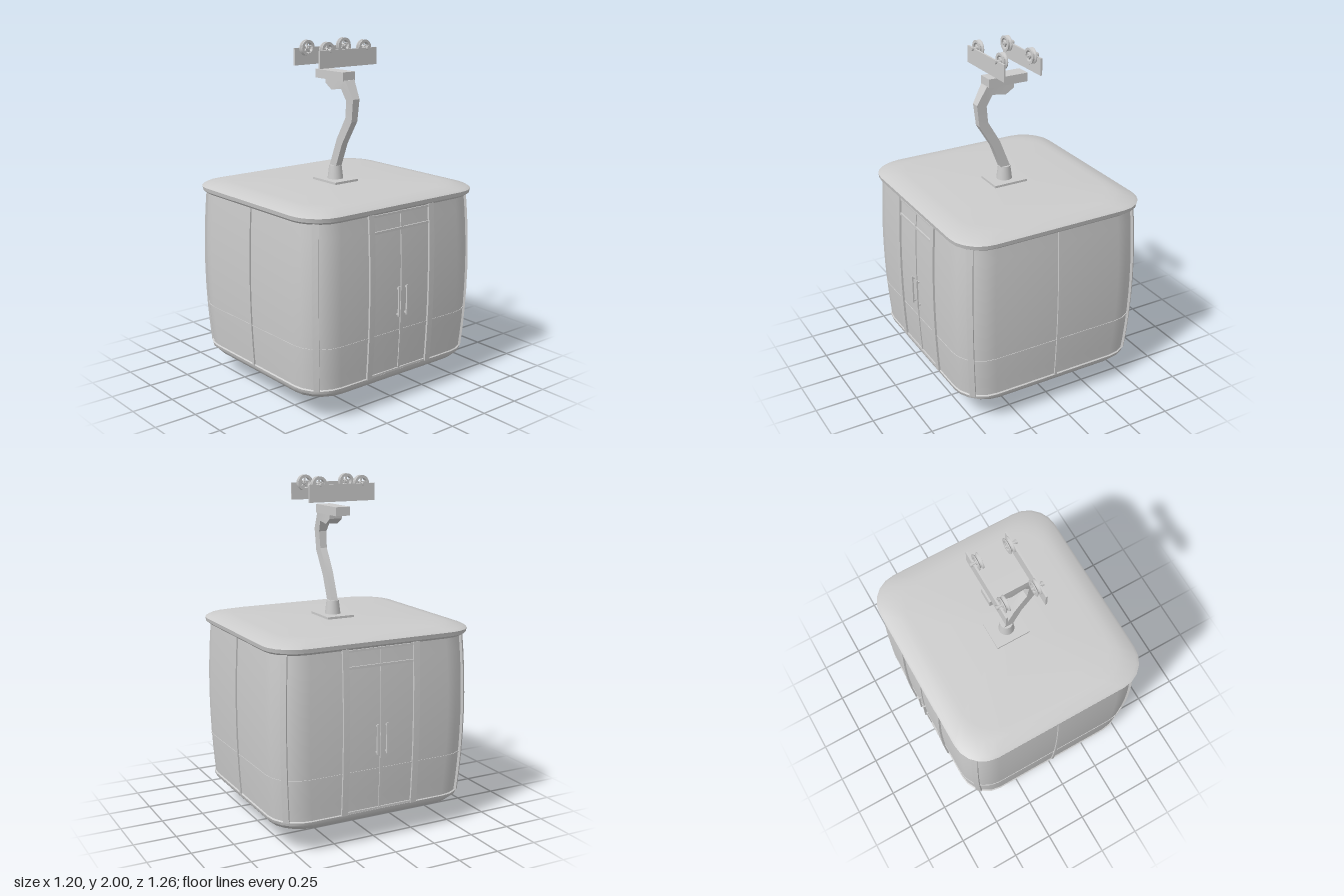
import * as THREE from 'three';
import { toCreasedNormals } from 'three/addons/utils/BufferGeometryUtils.js';

const material = new THREE.MeshStandardMaterial({ color: 0xcccccc });

function add(parent, name, geometry, x = 0, y = 0, z = 0) {
  const mesh = new THREE.Mesh(geometry, material);
  mesh.name = name;
  mesh.position.set(x, y, z);
  parent.add(mesh);
  return mesh;
}

// Closed skin over a list of loops of [x, y, z] points, capped at both ends.
function loft(loops, crease = 0.6) {
  const n = loops[0].length;
  const points = loops.flat();
  let index = [];
  for (let i = 0; i < loops.length - 1; i++) {
    for (let j = 0; j < n; j++) {
      const a = i * n + j, b = i * n + (j + 1) % n;
      index.push(a, b, b + n, a, b + n, a + n);
    }
  }
  [0, loops.length - 1].forEach((row, end) => {
    const centre = [0, 1, 2].map(k => loops[row].reduce((s, p) => s + p[k], 0) / n);
    const c = points.push(centre) - 1;
    for (let j = 0; j < n; j++) {
      const a = row * n + j, b = row * n + (j + 1) % n;
      if (end) index.push(c, a, b); else index.push(c, b, a);
    }
  });
  // Turn the faces outward when the loops run the other way.
  const v = i => new THREE.Vector3(...points[i]);
  let volume = 0;
  for (let i = 0; i < index.length; i += 3) {
    volume += v(index[i]).dot(v(index[i + 1]).cross(v(index[i + 2])));
  }
  if (volume < 0) index.reverse();
  const geometry = new THREE.BufferGeometry();
  geometry.setAttribute('position', new THREE.Float32BufferAttribute(points.flat(), 3));
  geometry.setIndex(index);
  return toCreasedNormals(geometry, crease);
}

// Horizontal rounded rectangle.
function ring(hx, hz, y, r = 0.18, segments = 5) {
  const loop = [];
  [[1, 1], [-1, 1], [-1, -1], [1, -1]].forEach(([sx, sz], q) => {
    for (let i = 0; i <= segments; i++) {
      const a = (q + i / segments) * Math.PI / 2;
      loop.push([sx * (hx - r) + r * Math.cos(a), y, sz * (hz - r) + r * Math.sin(a)]);
    }
  });
  return loop;
}

// Half width and half depth of the gently bulging cabin wall.
const halfX = y => 0.562 + 0.018 * (1 - ((y - 0.68) / 0.47) ** 2);
const halfZ = y => halfX(y) + 0.035;
const heights = (y0, y1, n) => Array.from({ length: n + 1 }, (_, i) => y0 + (y1 - y0) * i / n);

// Upright strip following the wall; at(y) gives its x and z, angle its outward direction.
function strip(at, angle, width, depth, y0 = 0.185, y1 = 1.125) {
  const nx = Math.cos(angle), nz = Math.sin(angle);
  return loft(heights(y0, y1, 8).map(y => {
    const [x, z] = at(y);
    return [[-1, -1], [1, -1], [1, 1], [-1, 1]].map(([s, d]) => [
      x + nx * d * depth - nz * s * width / 2, y, z + nz * d * depth + nx * s * width / 2]);
  }));
}

function buildCabin() {
  const cabin = new THREE.Group();
  cabin.name = 'cabin';
  add(cabin, 'walls', loft(heights(0.17, 1.14, 10).map(y => ring(halfX(y), halfZ(y), y))));
  add(cabin, 'floorPan', loft([[0.555, 0.197], [0.566, 0.187], [0.562, 0.168], [0.535, 0.138], [0.48, 0.12]]
    .map(([h, y]) => ring(h, h + 0.036, y))));
  add(cabin, 'roof', loft([[0.565, 1.118], [0.582, 1.132], [0.586, 1.155], [0.572, 1.166], [0.5, 1.184], [0.46, 1.188]]
    .map(([h, y]) => ring(h, h + 0.042, y))));
  add(cabin, 'beltLine', loft([0.427, 0.434].map(y => ring(halfX(y) + 0.003, halfZ(y) + 0.003, y))));

  // Corner posts
  const k = 0.18 * (1 - Math.SQRT1_2);
  for (const sx of [-1, 1]) for (const sz of [-1, 1]) {
    add(cabin, 'cornerPost', strip(y => [sx * (halfX(y) - k), sz * (halfZ(y) - k)],
      Math.atan2(sz, sx), 0.034, 0.012));
  }
  for (const s of [-1, 1]) {
    // Front and back centre posts
    add(cabin, 'windowPost', strip(y => [0, s * halfZ(y)], s * Math.PI / 2, 0.016, 0.009));
    // Double doors on both sides
    const angle = s > 0 ? 0 : Math.PI;
    add(cabin, 'doorSeam', strip(y => [s * halfX(y), 0], angle, 0.014, 0.006));
    add(cabin, 'doorRail', new THREE.BoxGeometry(0.016, 0.014, 0.4), s * halfX(1.02), 1.02, 0);
    add(cabin, 'doorHeader', new THREE.BoxGeometry(0.016, 0.012, 0.4), s * halfX(1.11), 1.112, 0);
    add(cabin, 'doorSill', new THREE.BoxGeometry(0.016, 0.012, 0.4), s * halfX(0.195), 0.195, 0);
    for (const t of [-1, 1]) {
      add(cabin, 'doorPost', strip(y => [s * halfX(y), t * 0.22], angle, 0.038, 0.012));
      add(cabin, 'doorHandle', new THREE.BoxGeometry(0.009, 0.175, 0.009), s * 0.594, 0.605, t * 0.03);
      for (const y of [0.53, 0.68]) {
        add(cabin, 'handleMount', new THREE.BoxGeometry(0.022, 0.009, 0.009), s * 0.584, y, t * 0.03);
      }
    }
  }

  // Stepped guide pin under the floor
  const pin = [[0, 0.125], [0.065, 0.125], [0.06, 0.11], [0.042, 0.088], [0.036, 0.086], [0.043, 0.065],
    [0.042, 0.045], [0.026, 0.026], [0.011, 0.024], [0.01, 0.004], [0, 0]];
  add(cabin, 'guidePin', toCreasedNormals(new THREE.LatheGeometry(
    pin.reverse().map(p => new THREE.Vector2(...p)), 20), 0.6));
  return cabin;
}

function buildHanger() {
  const hanger = new THREE.Group();
  hanger.name = 'hanger';
  add(hanger, 'roofPlate', new THREE.BoxGeometry(0.21, 0.018, 0.17), 0, 1.192, 0);
  add(hanger, 'socket', new THREE.CylinderGeometry(0.036, 0.046, 0.08, 20), 0, 1.24, 0);
  // Bent arm: inner x, y, outer x, y, half thickness
  const sections = [
    [-0.03, 1.27, 0.026, 1.265, 0.021], [0.038, 1.44, 0.085, 1.415, 0.021],
    [0.115, 1.57, 0.17, 1.552, 0.021], [0.125, 1.667, 0.185, 1.68, 0.024],
    [0.092, 1.732, 0.128, 1.782, 0.034], [0.01, 1.722, 0.005, 1.782, 0.038],
    [-0.04, 1.755, -0.042, 1.782, 0.04]];
  add(hanger, 'arm', loft(sections.map(([ax, ay, bx, by, h]) =>
    [[ax, ay, -h], [bx, by, -h], [bx, by, h], [ax, ay, h]]), 0.3));
  add(hanger, 'crossBlock', new THREE.BoxGeometry(0.245, 0.05, 0.09), -0.002, 1.803, 0);
  return hanger;
}

// Grooved, spoked pulley turning about x
function buildPulley() {
  const pulley = new THREE.Group();
  pulley.name = 'pulley';
  const rim = [[0.03, -0.014], [0.045, -0.014], [0.045, -0.009], [0.036, -0.003], [0.036, 0.003],
    [0.045, 0.009], [0.045, 0.014], [0.03, 0.014], [0.03, -0.014]];
  add(pulley, 'rim', toCreasedNormals(new THREE.LatheGeometry(
    rim.map(p => new THREE.Vector2(...p)), 24), 0.5)).rotation.z = Math.PI / 2;
  add(pulley, 'hub', new THREE.CylinderGeometry(0.013, 0.013, 0.03, 16)).rotation.z = Math.PI / 2;
  for (let i = 0; i < 5; i++) {
    const a = i * Math.PI * 2 / 5;
    add(pulley, 'spoke', new THREE.BoxGeometry(0.01, 0.025, 0.008),
      0, 0.021 * Math.cos(a), 0.021 * Math.sin(a)).rotation.x = a;
  }
  return pulley;
}

function buildCarriage() {
  const carriage = new THREE.Group();
  carriage.name = 'carriage';
  for (const s of [-1, 1]) {
    add(carriage, 'sidePlate', new THREE.BoxGeometry(0.011, 0.097, 0.412), s * 0.114, 1.907, 0);
    for (const t of [-1, 1]) {
      const pulley = buildPulley();
      pulley.position.set(s * 0.09, 1.955, t * 0.133);
      carriage.add(pulley);
      add(carriage, 'axle', new THREE.CylinderGeometry(0.007, 0.007, 0.066, 12),
        s * 0.1, 1.955, t * 0.133).rotation.z = Math.PI / 2;
      add(carriage, 'axleNut', new THREE.CylinderGeometry(0.013, 0.013, 0.012, 6),
        s * 0.13, 1.955, t * 0.133).rotation.z = Math.PI / 2;
    }
  }
  return carriage;
}

export function createModel() {
  const model = new THREE.Group();
  model.name = 'cableCar';
  model.add(buildCabin(), buildHanger(), buildCarriage());
  return model;
}
